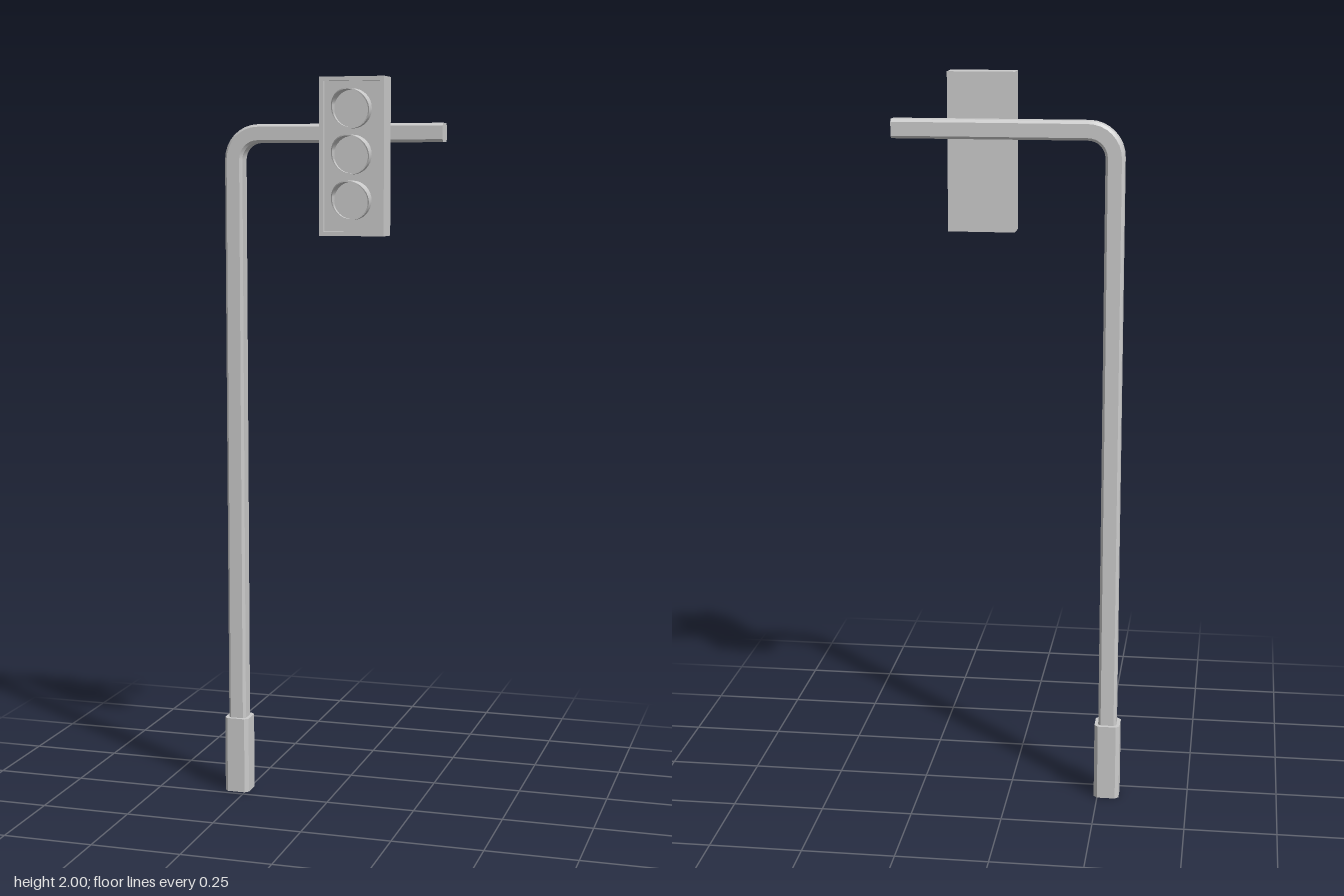
import * as THREE from 'three';
import { toCreasedNormals } from 'three/addons/utils/BufferGeometryUtils.js';

const POLE_X = -0.275, POLE_Z = -0.05;
const LAMP_X = 0.079;

// Square section with cut corners, counter-clockwise
function section(h, c) {
  const k = h - c;
  return [[h, -k], [h, k], [k, h], [-k, h], [-h, k], [-h, -k], [-k, -h], [k, -h]];
}

// Sweep a section through stations {x, y, a}; a is the direction of the section's first axis
function sweep(profile, stations) {
  const n = profile.length;
  const pos = [], idx = [];
  for (const { x, y, a } of stations) {
    for (const [u, v] of profile) pos.push(x + u * Math.cos(a), y + u * Math.sin(a), POLE_Z + v);
  }
  for (let s = 0; s < stations.length - 1; s++) {
    for (let i = 0; i < n; i++) {
      const p = s * n + i, q = s * n + (i + 1) % n;
      idx.push(p, q, q + n, p, q + n, p + n);
    }
  }
  // Cap the far end only; the near end stays open
  const e = (stations.length - 1) * n;
  for (let i = 1; i < n - 1; i++) idx.push(e, e + i, e + i + 1);
  const geo = new THREE.BufferGeometry();
  geo.setAttribute('position', new THREE.Float32BufferAttribute(pos, 3));
  geo.setIndex(idx);
  return toCreasedNormals(geo, 0.5);
}

// Tube that is long at the top and short at the bottom
function visorGeometry() {
  const back = 0.02, outer = 0.052, inner = 0.049;
  const profile = [[inner, back], [outer, back], [outer, 0.1], [inner, 0.1], [inner, back]]
    .map(([r, z]) => new THREE.Vector2(r, z));
  const geo = new THREE.LatheGeometry(profile, 32).rotateX(Math.PI / 2);
  const p = geo.attributes.position;
  for (let i = 0; i < p.count; i++) {
    if (p.getZ(i) < 0.05) continue;
    const t = (1 + p.getY(i) / Math.hypot(p.getX(i), p.getY(i))) / 2;
    p.setZ(i, 0.046 + 0.038 * t * t);
  }
  return toCreasedNormals(geo, 0.6);
}

function rectangle(target, w, h) {
  target.moveTo(-w / 2, -h / 2).lineTo(w / 2, -h / 2).lineTo(w / 2, h / 2).lineTo(-w / 2, h / 2).closePath();
  return target;
}

export function createModel() {
  const group = new THREE.Group();
  const grey = new THREE.MeshStandardMaterial({ color: 0xcccccc });
  const greyOpen = new THREE.MeshStandardMaterial({ color: 0xcccccc, side: THREE.DoubleSide });
  const add = (name, geo, x = 0, y = 0, z = 0, material = grey, parent = group) => {
    const mesh = new THREE.Mesh(geo, material);
    mesh.name = name;
    mesh.position.set(x, y, z);
    parent.add(mesh);
    return mesh;
  };

  // Base sleeve, open underneath
  add('base', sweep(section(0.035, 0.01), [0, 0.215].map(y => ({ x: POLE_X, y, a: Math.PI }))), 0, 0, 0, greyOpen);

  // Upright, bend and arm in one sweep
  const stations = [{ x: POLE_X, y: 0.21, a: Math.PI }];
  const R = 0.07, steps = 8;
  for (let i = 0; i <= steps; i++) {
    const a = Math.PI - (i / steps) * Math.PI / 2;
    stations.push({ x: POLE_X + R + R * Math.cos(a), y: 1.785 + R * Math.sin(a), a });
  }
  stations.push({ x: 0.31, y: 1.855, a: Math.PI / 2 });
  add('poleAndArm', sweep(section(0.025, 0.007), stations), 0, 0, 0, greyOpen);

  // Signal head: solid back with a raised rim round the face
  const head = new THREE.Group();
  head.name = 'signalHead';
  head.position.set(LAMP_X, 1.7915, 0);
  group.add(head);
  const W = 0.178, H = 0.417, rim = 0.011;
  add('housing', new THREE.BoxGeometry(W, H, 0.055), 0, 0, -0.0005, grey, head);
  const frame = rectangle(new THREE.Shape(), W, H);
  frame.holes.push(rectangle(new THREE.Path(), W - 2 * rim, H - 2 * rim));
  add('rim', new THREE.ExtrudeGeometry(frame, { depth: 0.015, bevelEnabled: false }), 0, 0, 0.027, grey, head);

  // Three lamps, each with a lens and a visor
  const visor = visorGeometry();
  const lens = new THREE.CylinderGeometry(0.049, 0.049, 0.012, 32).rotateX(Math.PI / 2);
  [1.917, 1.797, 1.677].forEach((y, i) => {
    const lamp = new THREE.Group();
    lamp.name = 'lamp' + (i + 1);
    lamp.position.y = y - 1.7915;
    head.add(lamp);
    add('lens', lens, 0, 0, 0.028, grey, lamp);
    add('visor', visor, 0, 0, 0, greyOpen, lamp);
  });
  return group;
}
